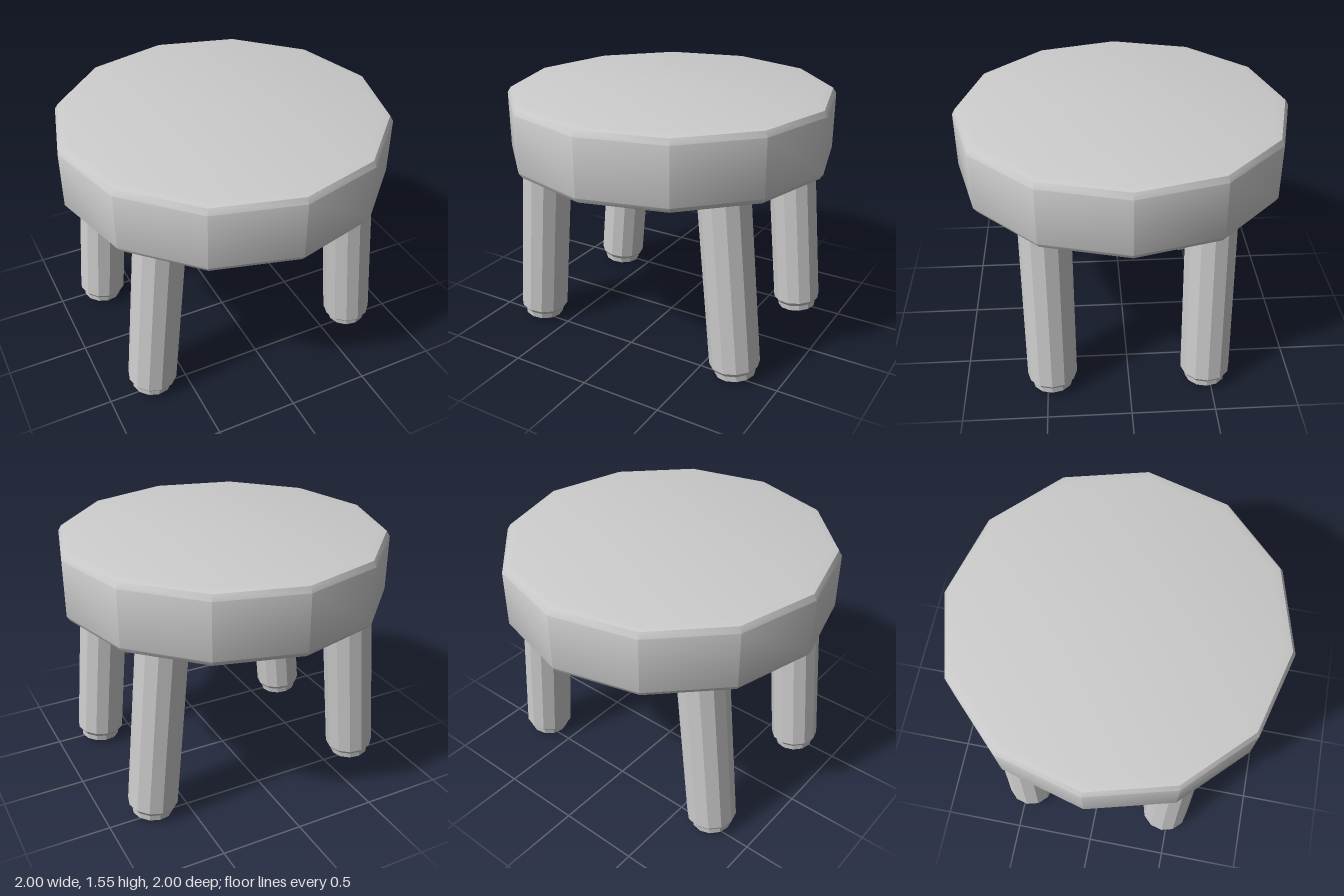
import * as THREE from 'three';
import { toCreasedNormals } from 'three/addons/utils/BufferGeometryUtils.js';

const SIDES = 12;
const profile = (pairs) => pairs.map(([r, y]) => new THREE.Vector2(r, y));

export function createModel() {
  const stool = new THREE.Group();
  stool.name = 'stool';

  // Seat: hollow twelve-sided shell with bevelled rims, open underneath
  const seatGeometry = new THREE.LatheGeometry(profile([
    [0.92, 1.125], [0.98, 1.135], [1, 1.165],
    [1, 1.505], [0.98, 1.538], [0.93, 1.55], [0, 1.55],
  ]), SIDES);
  const seat = new THREE.Mesh(
    toCreasedNormals(seatGeometry, THREE.MathUtils.degToRad(35)),
    new THREE.MeshStandardMaterial({ color: 0xcccccc, side: THREE.DoubleSide }),
  );
  seat.name = 'seat';
  stool.add(seat);

  // Legs: faceted open tubes with a narrower foot, splayed sideways
  const legGeometry = new THREE.LatheGeometry(profile([
    [0.105, 0], [0.122, 0.01], [0.125, 0.045], [0.15, 0.075], [0.15, 1.16],
  ]), SIDES);
  const legMaterial = new THREE.MeshStandardMaterial({
    color: 0xcccccc, flatShading: true, side: THREE.DoubleSide,
  });
  for (const x of [1, -1]) {
    for (const z of [1, -1]) {
      const leg = new THREE.Mesh(legGeometry, legMaterial);
      leg.name = `${z > 0 ? 'front' : 'back'}${x > 0 ? 'Left' : 'Right'}Leg`;
      leg.position.set(0.717 * x, 0.01, 0.47 * z);
      leg.rotation.z = 0.095 * x;
      stool.add(leg);
    }
  }
  return stool;
}
